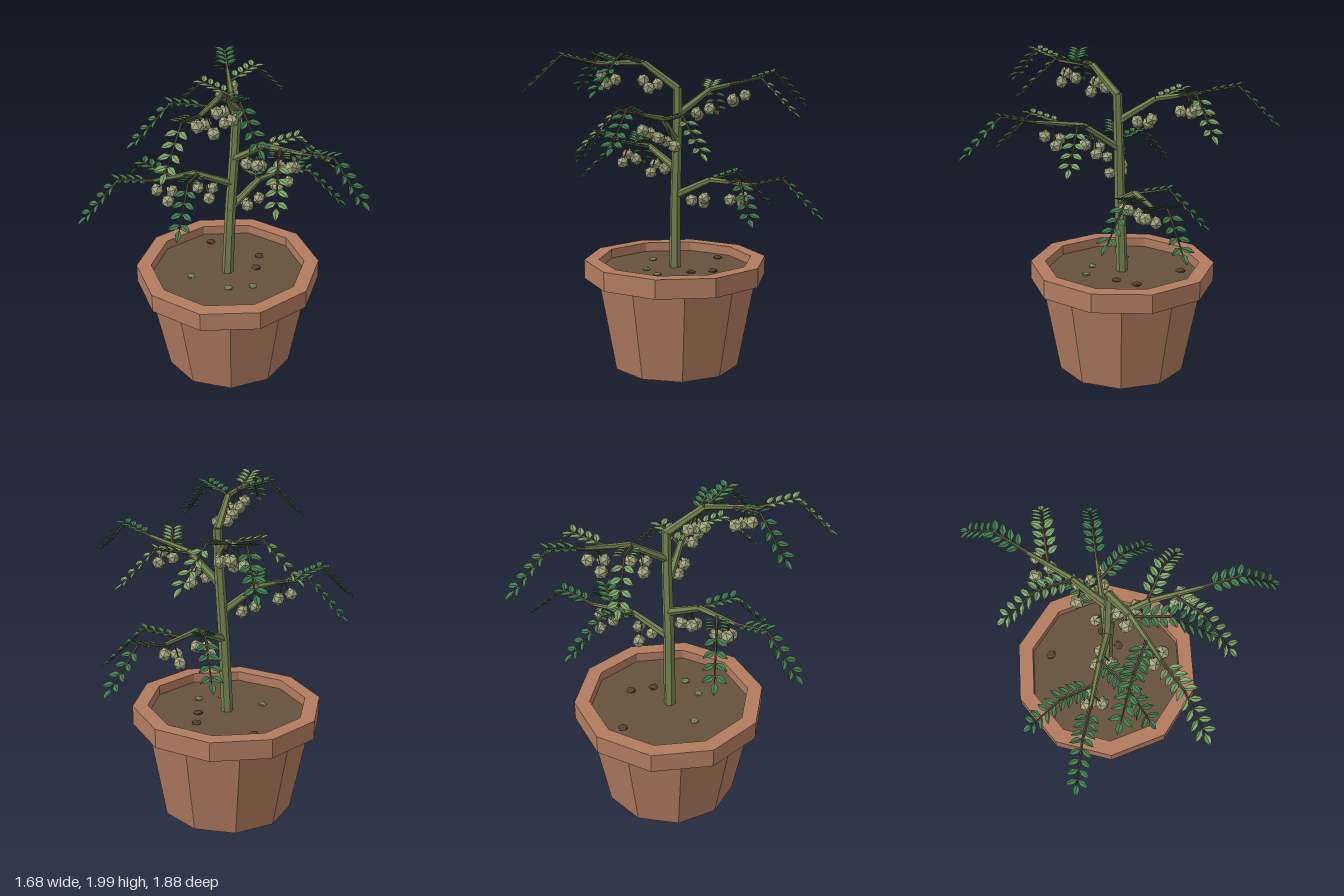
import * as THREE from 'three';
import { mergeGeometries } from 'three/addons/utils/BufferGeometryUtils.js';

const mat = (name, color, extra = {}) =>
  Object.assign(new THREE.MeshStandardMaterial({ color, flatShading: true, ...extra }), { name });
const V = (x, y, z) => new THREE.Vector3(x, y, z);
const UP = V(0, 1, 0);

// Tapered straight limb between two points
function limbGeometry(a, b, r0, r1, sides = 6) {
  const d = b.clone().sub(a);
  const g = new THREE.CylinderGeometry(r1, r0, d.length(), sides);
  g.applyQuaternion(new THREE.Quaternion().setFromUnitVectors(UP, d.normalize()));
  return g.translate((a.x + b.x) / 2, (a.y + b.y) / 2, (a.z + b.z) / 2);
}

// Chain of limbs through points with a radius at each
function chain(points, radii, sides) {
  return mergeGeometries(points.slice(1).map((p, i) =>
    limbGeometry(points[i], p, radii[i], radii[i + 1], sides)));
}

// Pointed leaf folded along its midrib, growing along +y
function leafGeometry() {
  const w = 0.019, l = 0.082, f = 0.006;
  const g = new THREE.BufferGeometry();
  g.setAttribute('position', new THREE.Float32BufferAttribute([
    0, 0, 0, 0, l, 0,
    w, l * 0.38, f, w * 0.75, l * 0.7, f,
    -w, l * 0.38, f, -w * 0.75, l * 0.7, f], 3));
  g.setIndex([0, 2, 3, 0, 3, 1, 0, 5, 4, 0, 1, 5]);
  g.computeVertexNormals();
  return g;
}

export function createModel() {
  const clay = mat('clay', 0xb27c60);
  const soilMat = mat('soil', 0x65523e);
  const pebbleMat = mat('pebble', 0x5a4032);
  const bark = mat('green bark', 0x74824f);
  const twigMat = mat('twig', 0x57533d);
  const fruitMat = mat('fruit', 0xa6a880);
  const lightLeaf = mat('light leaf', 0x7ea46a, { side: THREE.DoubleSide });
  const darkLeaf = mat('dark leaf', 0x437d50, { side: THREE.DoubleSide });

  const model = new THREE.Group();
  model.name = 'pottedPlant';
  const add = (parent, name, geometry, material) => {
    const m = new THREE.Mesh(geometry, material);
    m.name = name;
    parent.add(m);
    return m;
  };

  // Ten-sided pot, rim turned half a facet against the body
  const pot = new THREE.Group();
  pot.name = 'pot';
  pot.position.set(-0.223, 0, 0.027);
  model.add(pot);
  add(pot, 'potBody', new THREE.CylinderGeometry(0.518, 0.41, 0.58, 10).translate(0, 0.29, 0), clay);
  const rim = [[0.49, 0.57], [0.583, 0.57], [0.583, 0.69], [0.49, 0.69], [0.49, 0.57]]
    .map(([r, y]) => new THREE.Vector2(r, y));
  add(pot, 'potRim', new THREE.LatheGeometry(rim, 10, Math.PI / 2), clay);
  add(pot, 'soil', new THREE.CylinderGeometry(0.489, 0.489, 0.05, 10, 1, false, Math.PI / 2)
    .translate(0, 0.605, 0), soilMat);

  // Pebbles and fallen fruits on the soil
  const scatter = (name, list, r, material) => list.forEach(([x, z], i) => {
    const m = add(model, name, new THREE.IcosahedronGeometry(r, 0), material);
    m.scale.y = 0.45;
    m.rotation.y = i * 1.3;
    m.position.set(x, 0.635, z);
  });
  scatter('pebble', [[-0.52, -0.2], [-0.09, -0.1], [-0.15, -0.23]], 0.032, pebbleMat);
  scatter('fallenBud', [[-0.38, 0.21], [-0.105, 0.19], [0.01, 0.09]], 0.028, bark);

  // Leaning stem
  const stem = [V(-0.225, 0.6, 0.03), V(-0.2, 1.1, 0.022), V(-0.178, 1.45, 0.008), V(-0.16, 1.78, 0)];
  add(model, 'stem', chain(stem, [0.037, 0.034, 0.031, 0.028]), bark);
  const stemAt = y => {
    const i = y < 1.1 ? 0 : y < 1.45 ? 1 : 2;
    const [a, b] = [stem[i], stem[i + 1]];
    return a.clone().lerp(b, (y - a.y) / (b.y - a.y));
  };

  const leaf = leafGeometry();

  // Arching twig with paired leaves and one leaf at the tip
  function addTwig(parent, start, angle, length, rise, drop, leafMat) {
    const twig = new THREE.Group();
    twig.name = 'leafyTwig';
    parent.add(twig);
    const dir = V(Math.cos(angle), 0, Math.sin(angle));
    const len = length - 0.05;
    const peak = start.clone().addScaledVector(dir, len * 0.52);
    const tip = start.clone().addScaledVector(dir, len);
    peak.y += rise;
    tip.y -= drop;
    add(twig, 'twigStalk', chain([start, peak, tip], [0.011, 0.008, 0.004], 5), twigMat);
    const leaves = [];
    const place = (p, along, side) => {
      const across = along.clone().cross(UP).normalize();
      const normal = across.clone().cross(along).normalize();
      const y = along.clone().multiplyScalar(side ? 0.55 : 1)
        .addScaledVector(across, side * 0.83).addScaledVector(normal, 0.12).normalize();
      const x = y.clone().cross(normal).normalize();
      const z = x.clone().cross(y);
      leaves.push(leaf.clone().applyMatrix4(new THREE.Matrix4().makeBasis(x, y, z).setPosition(p)));
    };
    const rising = peak.clone().sub(start).normalize();
    const falling = tip.clone().sub(peak).normalize();
    for (let i = 0; i < 8; i++) {
      const t = 0.14 + i * 0.115;
      const p = t < 0.52 ? start.clone().lerp(peak, t / 0.52) : peak.clone().lerp(tip, (t - 0.52) / 0.48);
      for (const side of [-1, 1]) place(p, t < 0.52 ? rising : falling, side);
    }
    place(tip, falling, 0);
    add(twig, 'leaves', mergeGeometries(leaves), leafMat);
  }

  // Branches: height on stem, heading, elbow (reach, y), end (reach, y), leaf colours (end, sides)
  const branches = [
    [1.1, 284, 0.24, 1.215, 0.5, 1.2, darkLeaf, darkLeaf],
    [1.27, 122, 0.24, 1.395, 0.5, 1.4, darkLeaf, darkLeaf],
    [1.44, 9.5, 0.24, 1.605, 0.54, 1.65, darkLeaf, lightLeaf],
    [1.61, 230.5, 0.23, 1.76, 0.5, 1.81, darkLeaf, lightLeaf],
    [1.77, 79, 0.21, 1.93, 0.5, 1.925, lightLeaf, darkLeaf],
  ];
  for (const [y0, deg, r1, y1, r2, y2, endLeaf, sideLeaf] of branches) {
    const branch = new THREE.Group();
    branch.name = 'branch';
    model.add(branch);
    const a = deg * Math.PI / 180;
    const root = stemAt(y0);
    const out = (r, y) => V(root.x + Math.cos(a) * r, y, root.z + Math.sin(a) * r);
    const elbow = out(r1, y1), end = out(r2, y2);
    const at = r => r < r1 ? root.clone().lerp(elbow, r / r1) : elbow.clone().lerp(end, (r - r1) / (r2 - r1));
    add(branch, 'branchWood', chain([root, elbow, end], [0.025, 0.019, 0.012]), bark);

    addTwig(branch, end, a, 0.46, 0.05, 0.14, endLeaf);
    addTwig(branch, at(0.22), a - 0.92, 0.46, 0.045, 0.15, sideLeaf);
    addTwig(branch, at(0.37), a + 0.9, 0.46, 0.045, 0.15, sideLeaf);

    // Two hanging clusters of three faceted fruits
    for (const r of [0.17, 0.43]) {
      const top = at(r);
      for (let k = 0; k < 3; k++) {
        const t = a + 0.6 + k * Math.PI * 2 / 3;
        const p = top.clone().add(V(Math.cos(t) * 0.052, -0.08 - k * 0.022, Math.sin(t) * 0.052));
        add(branch, 'fruitStalk', limbGeometry(top, p, 0.004, 0.004, 4), twigMat);
        const fruit = add(branch, 'fruit', new THREE.IcosahedronGeometry(0.042, 0), fruitMat);
        fruit.position.copy(p);
        fruit.rotation.set(k * 0.7, t, 0);
      }
    }
  }
  return model;
}
